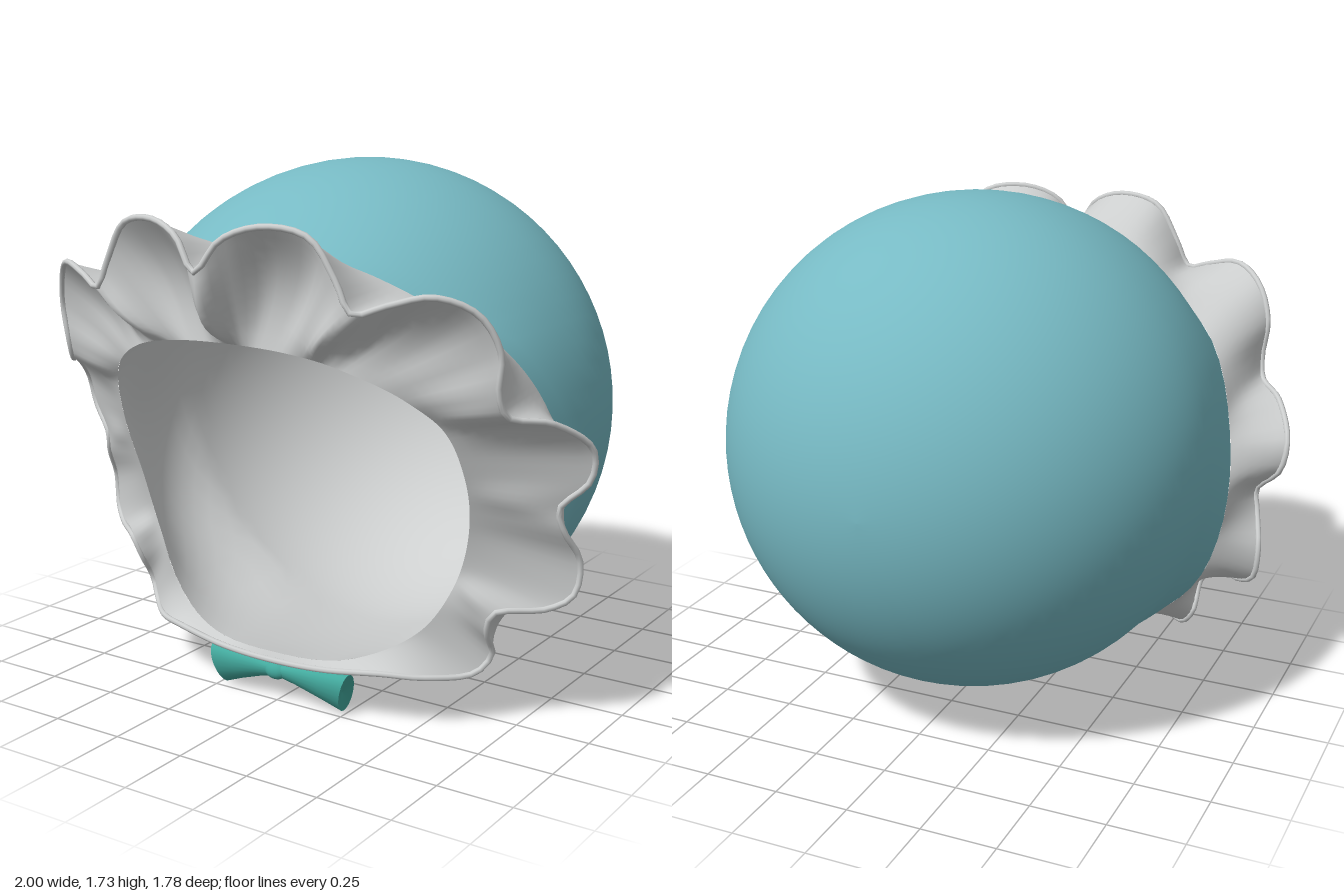
import * as THREE from 'three';

const CY = 0.9, CZ = -0.06, R = 0.826; // centre and radius of the dome
const SEG = 192;

// Edge of the dome: [angle in degrees from +x, distance from the axis, z]
const OUTER_RIM = edge([
  [-90, 0.787, 0.45], [-69, 0.826, 0.38], [-57, 0.858, 0.29], [-44, 0.872, 0.2], [-31, 0.876, 0.13],
  [-19, 0.862, 0.11], [4, 0.82, 0.17], [25, 0.77, 0.32], [34, 0.721, 0.4], [52, 0.656, 0.5], [90, 0.59, 0.57],
]);
// Edge of the face opening, further forward
const FACE_EDGE = edge([
  [-90, 0.72, 0.53], [-67, 0.755, 0.49], [-50, 0.765, 0.41], [-38, 0.734, 0.375], [-21.5, 0.69, 0.385],
  [-4.5, 0.66, 0.45], [9, 0.63, 0.52], [18, 0.58, 0.59], [34, 0.48, 0.68], [57, 0.37, 0.71], [90, 0.32, 0.72],
]);
// Half of the wavy frill lip, from top centre to bottom centre: [x, y, z, bulge of the inner pleat]
const LIP = [
  [0, 1.455, 0.88, 0.06], [0.08, 1.55, 0.86, 0], [0.2, 1.592, 0.825, -0.05], [0.34, 1.567, 0.79, -0.05],
  [0.42, 1.45, 0.775, 0], [0.47, 1.36, 0.77, 0.04], [0.56, 1.385, 0.73, 0], [0.68, 1.412, 0.675, -0.04],
  [0.78, 1.36, 0.595, -0.04], [0.827, 1.25, 0.55, -0.02], [0.817, 1.13, 0.54, 0], [0.83, 1.06, 0.51, 0.01],
  [0.92, 1.027, 0.39, 0], [0.988, 0.93, 0.26, 0], [0.973, 0.83, 0.245, 0], [0.89, 0.74, 0.28, 0.01],
  [0.9, 0.67, 0.265, 0], [0.928, 0.56, 0.2, 0], [0.913, 0.45, 0.21, 0], [0.85, 0.41, 0.26, 0],
  [0.72, 0.4, 0.36, 0.01], [0.69, 0.33, 0.35, 0], [0.685, 0.24, 0.3, 0], [0.64, 0.178, 0.33, 0],
  [0.52, 0.173, 0.44, 0], [0.4, 0.18, 0.5, 0], [0.2, 0.16, 0.53, 0], [0, 0.155, 0.54, 0],
];

// Smooth left-right symmetric lookup of { r, z } by angle
function edge(rows) {
  const n = rows.length;
  const mirror = ([a, r, z], c) => [c - a, r, z];
  const all = [mirror(rows[1], -180), ...rows, mirror(rows[n - 2], 180)];
  const curve = new THREE.CubicInterpolant(
    all.map((row) => row[0]), all.flatMap((row) => row.slice(1)), 2, new Float32Array(2));
  return (t) => {
    const deg = THREE.MathUtils.radToDeg(Math.atan2(Math.sin(t), Math.abs(Math.cos(t))));
    const [r, z] = curve.evaluate(deg);
    return { r, z };
  };
}

// Surface closed in u; point(u, v) with u and v in 0..1
function sheet(point, nu, nv, flip = false) {
  const pos = [], index = [];
  for (let j = 0; j <= nv; j++)
    for (let i = 0; i < nu; i++) pos.push(...point(i / nu, j / nv));
  for (let j = 0; j < nv; j++)
    for (let i = 0; i < nu; i++) {
      const k = (i + 1) % nu;
      const a = j * nu + i, b = j * nu + k, c = a + nu, d = b + nu;
      if (flip) index.push(a, c, b, b, c, d);
      else index.push(a, b, c, b, d, c);
    }
  const g = new THREE.BufferGeometry();
  g.setAttribute('position', new THREE.Float32BufferAttribute(pos, 3));
  g.setIndex(index);
  g.computeVertexNormals();
  return g;
}

// Dome from an edge curve to the back pole; flare(t, f) widens it in front of the centre,
// where f runs from 0 at the centre to 1 at the edge
function dome(lookup, radius, flare, outward) {
  return sheet((u, v) => {
    const t = u * Math.PI * 2;
    const { r, z } = lookup(t);
    const start = Math.acos(Math.min(r / radius, 0.985));
    const phi = THREE.MathUtils.lerp(start, -Math.PI / 2, v);
    const f = Math.max(0, Math.sin(phi) / Math.sin(start));
    const rad = radius * Math.cos(phi) + flare(t, f);
    const dz = phi > 0 ? f * (z - CZ) : radius * Math.sin(phi);
    return [rad * Math.cos(t), CY + rad * Math.sin(t), CZ + dz];
  }, 72, 32, outward);
}

export function createModel() {
  const teal = new THREE.MeshStandardMaterial({ color: 0x77bac4 });
  teal.name = 'bonnet teal';
  const grey = new THREE.MeshStandardMaterial({ color: 0xcdcfcf });
  grey.name = 'frill grey';
  const green = new THREE.MeshStandardMaterial({ color: 0x43aa9e });
  green.name = 'bow green';

  const model = new THREE.Group();
  model.name = 'bonnet';
  const add = (name, geometry, material, parent = model) => {
    const mesh = new THREE.Mesh(geometry, material);
    mesh.name = name;
    parent.add(mesh);
    return mesh;
  };

  // Cap, fuller at the cheeks, and its lining
  const cheek = (t) => Math.max(0, OUTER_RIM(t).r - R * 0.985);
  add('cap', dome(OUTER_RIM, R, (t, f) => cheek(t) * f, true), teal);
  add('lining', dome(FACE_EDGE, 0.795, (t, f) => cheek(t) * 4 * f * (1 - f), false), grey);

  // Frill: outer pleats, hollowed inner pleats and a rounded lip
  const frill = new THREE.Group();
  frill.name = 'frill';
  model.add(frill);
  const loop = [...LIP].reverse().concat(LIP.slice(1, -1).map(([x, ...rest]) => [-x, ...rest]));
  const lip = new THREE.CatmullRomCurve3(
    loop.map(([x, y, z]) => new THREE.Vector3(x, y, z)), true, 'centripetal');
  const bulgeAt = (u) => {
    const i = Math.floor(u * loop.length), f = u * loop.length - i;
    const a = loop[i % loop.length][3], b = loop[(i + 1) % loop.length][3];
    return THREE.MathUtils.lerp(a, b, THREE.MathUtils.smoothstep(f, 0, 1));
  };
  // Angle where a pleat meets the dome, averaged so the folds fade out evenly
  const rootAngle = (u) => {
    let x = 0, y = 0;
    for (let k = -3; k <= 3; k++) {
      const p = lip.getPoint((u + k * 0.009 + 1) % 1);
      const len = Math.hypot(p.x, p.y - CY);
      x += p.x / len;
      y += (p.y - CY) / len;
    }
    return Math.atan2(y, x);
  };
  // v runs from the root (0) to the lip (1); bulge pushes the middle towards the face side
  const pleat = (u, v, lookup, bulge) => {
    const p = lip.getPoint(u);
    const t = rootAngle(u);
    const { r, z } = lookup(t);
    const c = Math.cos(t), s = Math.sin(t);
    const dr = Math.hypot(p.x, p.y - CY) - r, dz = p.z - z;
    const push = bulge * Math.sin(Math.PI * v) / Math.hypot(dr, dz);
    return [
      THREE.MathUtils.lerp(r * c, p.x, v) - dz * push * c,
      THREE.MathUtils.lerp(CY + r * s, p.y, v) - dz * push * s,
      z + dz * v + dr * push,
    ];
  };
  add('outerPleats', sheet((u, v) => pleat(u, v, OUTER_RIM, 0), SEG, 5), grey, frill);
  add('innerPleats', sheet((u, v) => pleat(u, 1 - v, FACE_EDGE, bulgeAt(u)), SEG, 10), grey, frill);
  add('lip', new THREE.TubeGeometry(lip, SEG, 0.01, 8, true), grey, frill);

  // Bow under the chin; wing sections: [x, y, z, half height, half depth]
  const bow = new THREE.Group();
  bow.name = 'bow';
  model.add(bow);
  const wing = [
    [0.01, 0.105, 0.5, 0.022, 0.018], [0.08, 0.1, 0.49, 0.036, 0.03], [0.17, 0.086, 0.478, 0.054, 0.04],
    [0.25, 0.07, 0.468, 0.07, 0.044], [0.25, 0.07, 0.468, 0.07, 0.044], [0.235, 0.07, 0.468, 0, 0],
  ];
  for (const side of [1, -1]) {
    const geometry = sheet((u, v) => {
      const [x, y, z, h, d] = wing[Math.round(v * (wing.length - 1))];
      const dy = h * Math.cos(u * Math.PI * 2);
      return [side * (x + dy * 0.28), y + dy, z + dy * 0.22 + d * Math.sin(u * Math.PI * 2)];
    }, 20, wing.length - 1, side < 0);
    add(side > 0 ? 'leftWing' : 'rightWing', geometry, green, bow);
  }
  const knot = add('knot', new THREE.SphereGeometry(1, 16, 12), green, bow);
  knot.scale.set(0.042, 0.03, 0.025);
  knot.position.set(0, 0.105, 0.503);

  return model;
}
